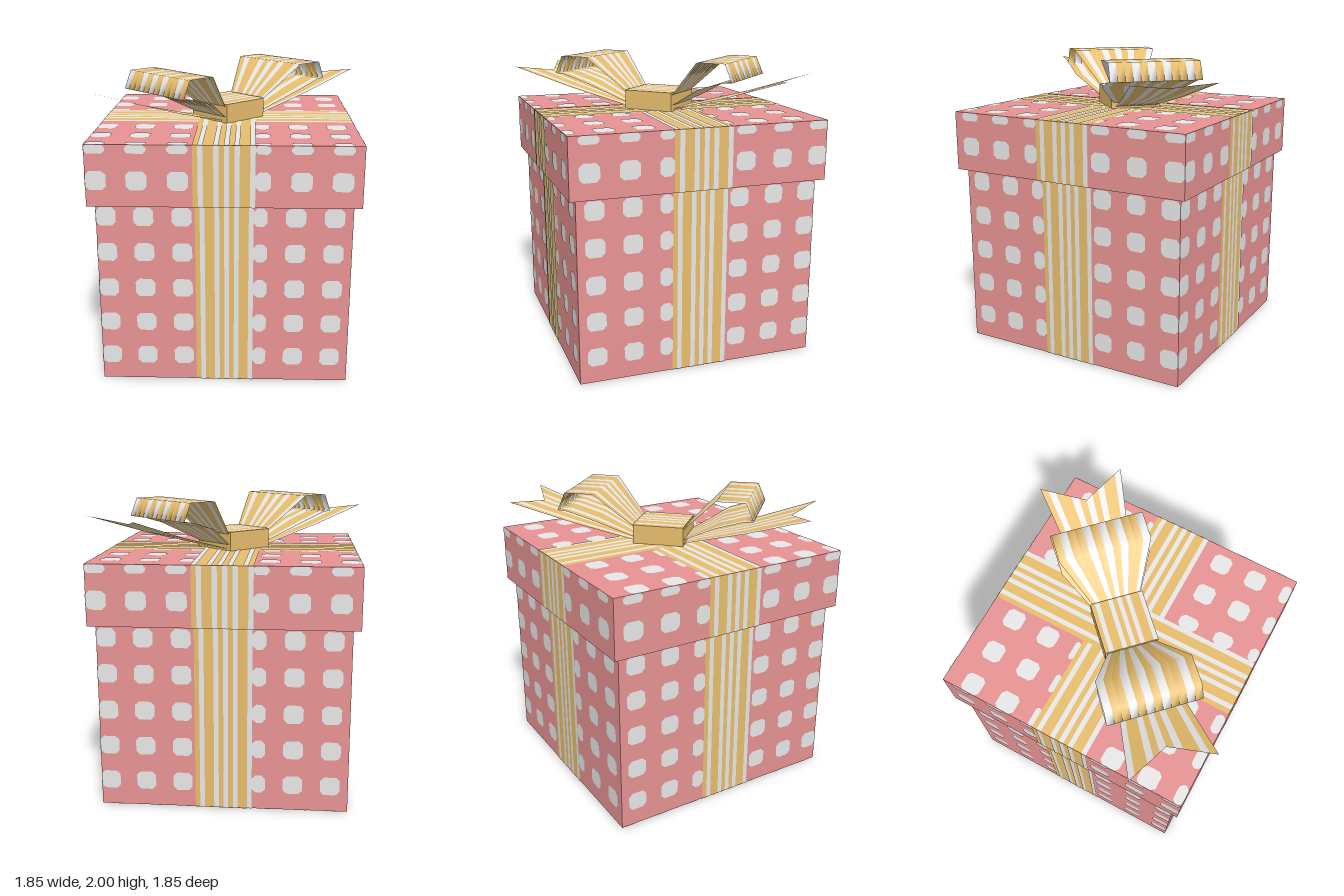
import * as THREE from 'three';
import { mergeGeometries } from 'three/addons/utils/BufferGeometryUtils.js';

const mat = (name, color, side = THREE.FrontSide) => {
  const m = new THREE.MeshStandardMaterial({ color, side });
  m.name = name;
  return m;
};

// Columns (of 12) that are white across a ribbon's width
const COLUMNS = 12;
const WHITE = [1, 4, 6, 8, 11];
const GOLD = [...Array(COLUMNS).keys()].filter((i) => !WHITE.includes(i));

export function createModel() {
  const pink = mat('pink paper', 0xe79292);
  const white = mat('white', 0xe7e7e7, THREE.DoubleSide);
  const gold = mat('gold', 0xe7bd6c, THREE.DoubleSide);
  const model = new THREE.Group();
  model.name = 'giftBox';

  const add = (parent, name, geometry, material) => {
    const m = new THREE.Mesh(geometry, material);
    m.name = name;
    parent.add(m);
    return m;
  };

  // Flat rectangle with cut corners, facing +z
  const patch = (x0, x1, y0, y1, z, cut = 0) => {
    const c = Math.min(cut, (x1 - x0) / 3, (y1 - y0) / 3);
    const pts = [[x0 + c, y0], [x1 - c, y0], [x1, y0 + c], [x1, y1 - c],
      [x1 - c, y1], [x0 + c, y1], [x0, y1 - c], [x0, y0 + c]];
    const corners = c > 0 ? pts : [[x0, y0], [x1, y0], [x1, y1], [x0, y1]];
    const g = new THREE.ShapeGeometry(new THREE.Shape(corners.map((p) => new THREE.Vector2(...p))));
    return g.translate(0, 0, z);
  };

  // Dot interval clipped to the panel and kept off the ribbon
  const clip = (c, half, min, max, ribbon) => {
    let lo = Math.max(c - half, min), hi = Math.min(c + half, max);
    if (ribbon && c > 0) lo = Math.max(lo, ribbon);
    if (ribbon && c <= 0) hi = Math.min(hi, -ribbon);
    return [lo, hi];
  };

  // Printed decoration of one panel: dots and a ribbon, optionally a crossing ribbon
  function panel(name, { us, vs, w, v0, v1, du, dv, ribbon, cross }) {
    const g = new THREE.Group();
    g.name = name;
    const dots = [], golds = [], whites = [];
    for (const u of us) for (const v of vs) {
      const [a, b] = clip(u, du, -w, w, ribbon);
      const [c, d] = clip(v, dv, v0, v1, cross ? ribbon : 0);
      if (b - a > 0.01 && d - c > 0.01) dots.push(patch(a, b, c, d, 0.002, 0.025));
    }
    const step = (2 * ribbon) / COLUMNS;
    golds.push(patch(-ribbon, ribbon, v0, v1, 0.002));
    for (const i of WHITE) {
      const s = -ribbon + i * step;
      whites.push(patch(s, s + step, v0, v1, 0.004));
    }
    if (cross) {
      for (const [a, b] of [[-w, -ribbon], [ribbon, w]]) {
        golds.push(patch(a, b, -ribbon, ribbon, 0.002));
        for (const i of WHITE) {
          const s = ribbon - i * step;
          whites.push(patch(a, b, s - step, s, 0.004));
        }
      }
    }
    add(g, 'dots', mergeGeometries(dots), white);
    add(g, 'ribbon', mergeGeometries(golds), gold);
    add(g, 'ribbonStripes', mergeGeometries(whites), white);
    return g;
  }

  const bodyDots = [-0.755, -0.515, -0.27, 0.21, 0.455, 0.7];
  const lidDots = [-0.8, -0.545, -0.287, 0.225, 0.482, 0.737];
  const body = { us: bodyDots, vs: [0.18, 0.425, 0.67, 0.918, 1.16], w: 0.818, v0: 0.004, v1: 1.24, du: 0.064, dv: 0.062, ribbon: 0.187 };
  const lid = { us: lidDots, vs: [1.41, 1.645], w: 0.865, v0: 1.24, v1: 1.64, du: 0.066, dv: 0.061, ribbon: 0.195 };

  // Body and lid with four decorated walls each
  for (const [name, p] of [['body', body], ['lid', lid]]) {
    const box = new THREE.BoxGeometry(2 * p.w, p.v1 - p.v0, 2 * p.w);
    add(model, name, box.translate(0, (p.v0 + p.v1) / 2, 0), pink);
    ['front', 'left', 'back', 'right'].forEach((side, i) => {
      const us = i % 2 ? p.us.map((u) => -u) : p.us;
      const g = panel(`${name}${side}Pattern`, { ...p, us });
      const angle = (i * Math.PI) / 2;
      g.rotation.y = angle;
      g.position.set(Math.sin(angle) * p.w, 0, Math.cos(angle) * p.w);
      model.add(g);
    });
  }

  // Lid top and box underside
  const top = panel('lidTopPattern', { ...lid, vs: [0.675, 0.415, 0.165, -0.355, -0.61, -0.865], v0: -lid.w, v1: lid.w, dv: 0.066, cross: true });
  top.rotation.x = -Math.PI / 2;
  top.position.y = 1.64;
  const bottom = panel('bottomPattern', { ...body, vs: bodyDots, v0: -body.w, v1: body.w, cross: true });
  bottom.rotation.x = Math.PI / 2;
  bottom.position.y = 0.004;
  model.add(top, bottom);

  // Ribbon sheet through rows [x, y, half width, notch depth], keeping the given columns
  function sheet(rows, columns) {
    const parts = columns.map((c) => {
      const pos = [], index = [];
      rows.forEach(([x, y, hw, notch = 0], r) => {
        for (const t of [(2 * c) / COLUMNS - 1, (2 * (c + 1)) / COLUMNS - 1]) {
          const back = notch * (1 - Math.abs(t));
          pos.push(x - back, y - back * 0.3, t * hw);
        }
        if (r) {
          const k = 2 * r - 2;
          index.push(k, k + 1, k + 3, k, k + 3, k + 2);
        }
      });
      const g = new THREE.BufferGeometry();
      g.setAttribute('position', new THREE.Float32BufferAttribute(pos, 3));
      g.setIndex(index);
      g.computeVertexNormals();
      return g;
    });
    return mergeGeometries(parts);
  }
  const striped = (parent, name, rows) => {
    add(parent, name, sheet(rows, GOLD), gold);
    add(parent, `${name}Stripes`, sheet(rows, WHITE), white);
  };

  // Bow set diagonally on the lid
  const bow = new THREE.Group();
  bow.name = 'bow';
  bow.rotation.y = Math.PI / 4;
  model.add(bow);

  add(bow, 'knot', new THREE.BoxGeometry(0.354, 0.13, 0.354).translate(0, 1.708, 0), gold);
  striped(bow, 'knotTop', [[-0.177, 1.776, 0.177], [0.177, 1.776, 0.177]]);

  for (const side of [0, 1]) {
    const half = new THREE.Group();
    half.name = side ? 'bowFrontHalf' : 'bowBackHalf';
    half.rotation.y = side * Math.PI;
    bow.add(half);
    striped(half, 'loop', [
      [0.15, 1.73, 0.145], [0.417, 2.0, 0.305], [0.615, 2.0, 0.307], [0.668, 1.88, 0.308],
      [0.6, 1.875, 0.307], [0.417, 1.82, 0.3], [0.15, 1.67, 0.145],
    ]);
    striped(half, 'tail', [[0.15, 1.65, 0.14], [0.6, 1.77, 0.21], [1.03, 1.905, 0.28, 0.143]]);
  }
  return model;
}
